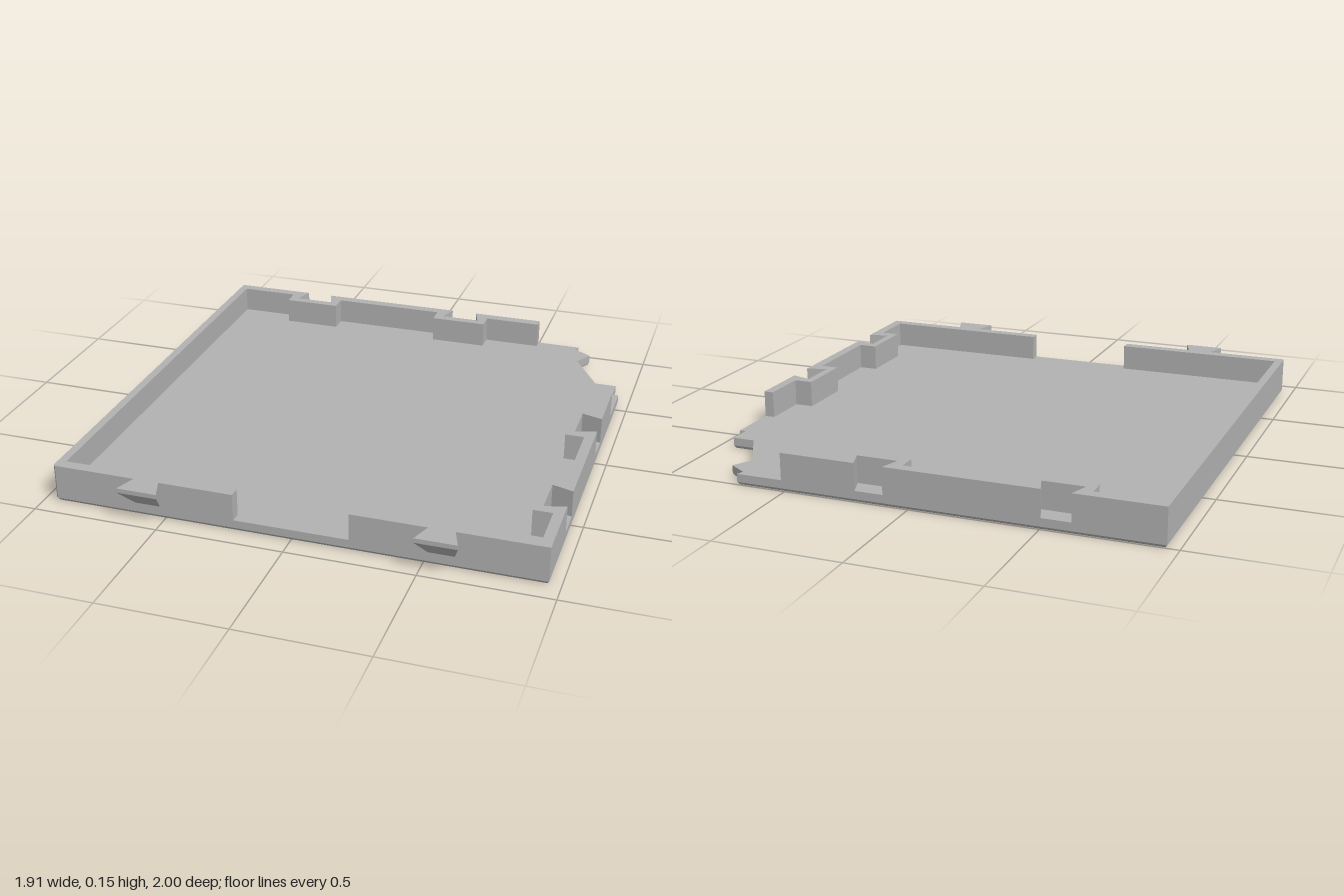
import * as THREE from 'three';
import { ConvexGeometry } from 'three/addons/geometries/ConvexGeometry.js';

const FLOOR = 0.043, TOP = 0.15, X = 0.955, FRONT = 0.915, BACK = -1;

// Extrude an outline of [x, z] points upward from y0 to y1
function slab(points, y0, y1, steps = 1) {
  const shape = new THREE.Shape(points.map(([x, z]) => new THREE.Vector2(x, -z)));
  const geo = new THREE.ExtrudeGeometry(shape, { depth: y1 - y0, steps, bevelEnabled: false });
  return geo.rotateX(-Math.PI / 2).translate(0, y0, 0);
}

// Dovetail notch in a wall's outer face: along/depth pairs, centred at c
const socket = (c, outer, inner) =>
  [[c - 0.056, outer], [c - 0.082, inner], [c + 0.082, inner], [c + 0.056, outer]];
// Thickened block on the wall's inner face behind a notch
const block = (c, face, bump) =>
  [[c - 0.119, face], [c - 0.119, bump], [c + 0.119, bump], [c + 0.119, face]];
const swap = ([a, b]) => [b, a];

export function createModel() {
  const model = new THREE.Group();
  const stone = new THREE.MeshStandardMaterial({ color: 0xb2b2b2 });
  stone.name = 'grey stone';
  const add = (name, geo) => {
    const mesh = new THREE.Mesh(geo, stone);
    mesh.name = name;
    model.add(mesh);
  };

  // Floor with one broken corner and a narrow bevel round the underside
  const floor = slab([
    [-X, BACK], [0.7, BACK], [0.69, -0.973], [0.765, -0.925], [0.722, -0.85], [0.84, -0.645],
    [0.93, -0.645], [0.93, -0.557], [X, -0.557], [X, FRONT], [-X + 0.008, FRONT], [-X, FRONT - 0.008],
  ], 0, FLOOR, 4);
  const p = floor.attributes.position;
  for (let i = 0; i < p.count; i++) {
    if (p.getY(i) < 0.001) {
      p.setX(i, p.getX(i) * 0.992);
      p.setZ(i, p.getZ(i) * 0.992);
    }
  }
  floor.computeVertexNormals();
  add('floor', floor);

  // Wall along the back, left out of the broken corner, down one side and half the front
  const backSockets = [-0.56, 0.155];
  add('backAndSideWall', slab([
    [-X, BACK],
    ...backSockets.flatMap(c => socket(c, BACK, -0.922)),
    [0.513, BACK], [0.513, -0.958],
    ...[...backSockets].reverse().flatMap(c => block(c, -0.958, -0.886).reverse()),
    [-0.922, -0.958], [-0.922, 0.87], [-0.225, 0.87], [-0.225, FRONT],
    [-X + 0.008, FRONT], [-X, FRONT - 0.008],
  ], FLOOR, TOP));

  // Wall along the other side and the rest of the front
  const sideSockets = [-0.045, 0.565];
  add('socketSideWall', slab([
    [X, -0.353],
    ...sideSockets.flatMap(c => socket(c, X, 0.872)).map(swap),
    [X, FRONT], [0.222, FRONT], [0.222, 0.87], [0.915, 0.87],
    ...[...sideSockets].reverse().flatMap(c => block(c, 0.915, 0.84).reverse()).map(swap),
    [0.915, -0.353],
  ], FLOOR, TOP));

  // Dovetail connector tabs on the front, sloping away underneath
  for (const c of [-0.569, 0.567]) {
    const corners = [];
    for (const s of [-1, 1]) {
      corners.push(
        new THREE.Vector3(c + s * 0.05, 0.048, FRONT), new THREE.Vector3(c + s * 0.05, TOP, FRONT),
        new THREE.Vector3(c + s * 0.08, 0.132, 1), new THREE.Vector3(c + s * 0.08, TOP, 1));
    }
    add('connectorTab', new ConvexGeometry(corners));
  }
  return model;
}
